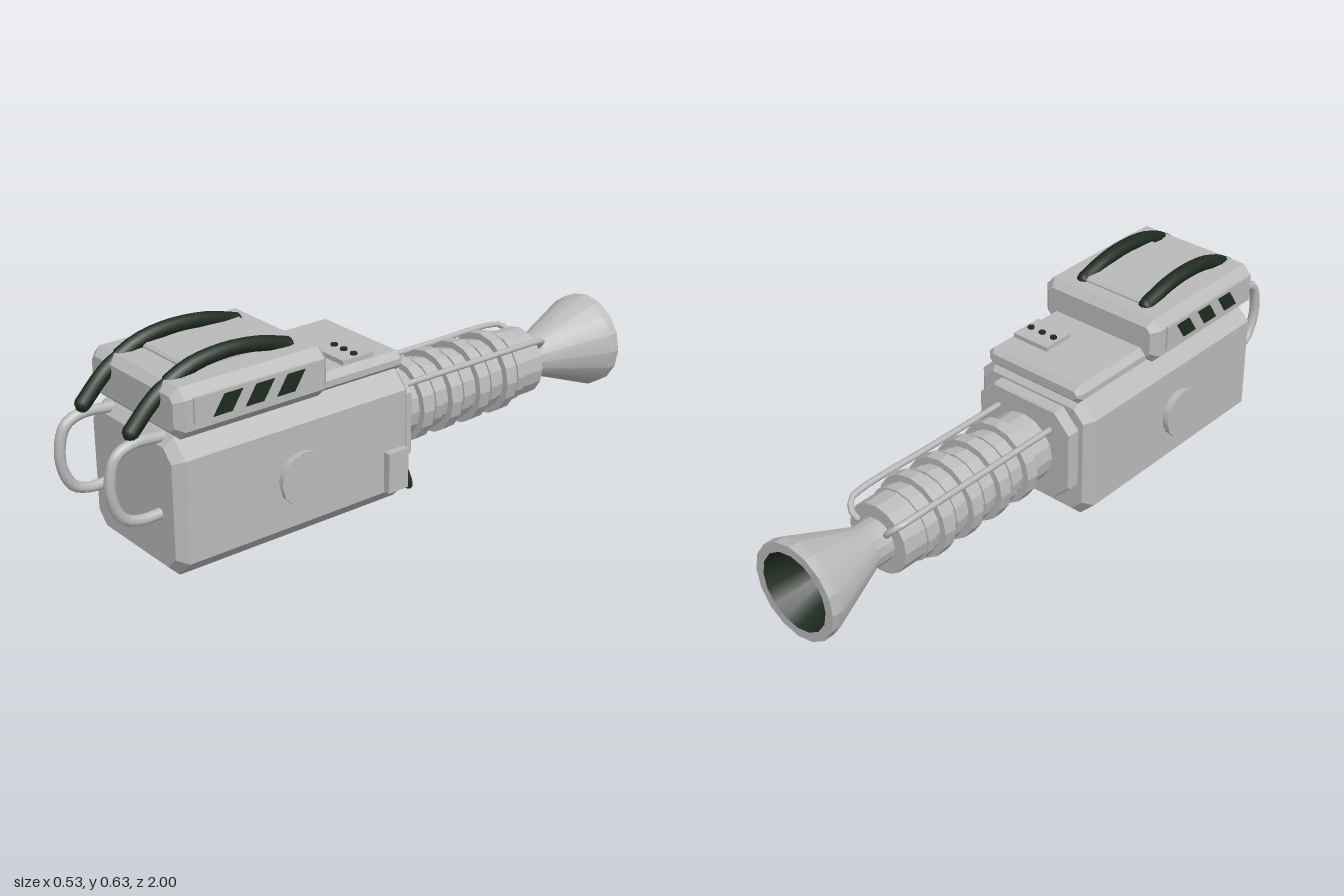
import * as THREE from 'three';
import { toCreasedNormals } from 'three/addons/utils/BufferGeometryUtils.js';

export function createModel() {
  const root = new THREE.Group();
  root.name = 'launcher';
  const grey = new THREE.MeshStandardMaterial({ color: 0xbababa });
  grey.name = 'metal grey';
  const dark = new THREE.MeshStandardMaterial({ color: 0x1e2b20 });
  dark.name = 'dark green rubber';

  const AXIS_Y = 0.215; // height of the barrel axis

  function add(name, geo, mat, x = 0, y = 0, z = 0) {
    const m = new THREE.Mesh(geo, mat);
    m.name = name;
    m.position.set(x, y, z);
    root.add(m);
    return m;
  }

  // Box with cut long edges (c) and bevelled ends (b), running along z
  function block(halfW, y0, y1, z0, z1, c, b) {
    const s = new THREE.Shape([
      [-halfW + c, y0], [halfW - c, y0], [halfW, y0 + c], [halfW, y1 - c],
      [halfW - c, y1], [-halfW + c, y1], [-halfW, y1 - c], [-halfW, y0 + c],
    ].map(([x, y]) => new THREE.Vector2(x, y)));
    const geo = new THREE.ExtrudeGeometry(s, {
      depth: z1 - z0 - 2 * b, bevelEnabled: true, bevelSegments: 1,
      bevelSize: b, bevelThickness: b, bevelOffset: -b,
    });
    return geo.translate(0, 0, z0 + b);
  }

  function tube(points, radius, segments, sides = 8) {
    const curve = new THREE.CatmullRomCurve3(points.map((p) => new THREE.Vector3(...p)));
    return new THREE.TubeGeometry(curve, segments, radius, sides);
  }

  // Tube ends are closed with small domes
  function cappedTube(name, points, radius, segments, mat) {
    add(name, tube(points, radius, segments), mat);
    for (const p of [points[0], points[points.length - 1]]) {
      add(name + 'End', new THREE.SphereGeometry(radius, 8, 6), mat, ...p);
    }
  }

  // Profile of [radius, distance toward the back], turned around the barrel axis
  function turned(name, profile, mat) {
    const geo = new THREE.LatheGeometry(profile.map(([r, d]) => new THREE.Vector2(r, d)), 16);
    geo.rotateX(-Math.PI / 2);
    return add(name, toCreasedNormals(geo, 0.39), mat, 0, AXIS_Y, 0);
  }

  // Housing
  add('body', block(0.23, 0, 0.425, -0.01, 0.83, 0.055, 0.028), grey);
  add('topCover', block(0.23, 0.425, 0.577, 0.3, 0.82, 0.03, 0.024), grey);
  add('topPanel', block(0.12, 0.56, 0.59, 0.37, 0.71, 0.008, 0.008), grey);
  add('rearDeck', block(0.19, 0.415, 0.475, -0.01, 0.34, 0.02, 0.015), grey);
  add('collar', block(0.185, 0.07, 0.39, -0.05, 0.0, 0.06, 0.006), grey);

  // Button box on the rear deck
  add('buttonBox', new THREE.BoxGeometry(0.135, 0.02, 0.115), grey, 0.098, 0.48, 0.147);
  for (const x of [0.052, 0.098, 0.144]) {
    add('button', new THREE.CylinderGeometry(0.011, 0.011, 0.008, 8), dark, x, 0.493, 0.147);
  }

  // Barrel, horn and dark bore
  turned('barrel', [[0.115, 0.03], [0.115, 0.68], [0.07, 0.68]], grey);
  turned('horn', [[0.07, 0.68], [0.07, 0.74], [0.157, 0.965], [0.157, 1], [0.127, 1]], grey);
  turned('bore', [[0.127, 1], [0.05, 0.78], [0, 0.78]], dark);
  for (let i = 0; i < 4; i++) {
    const d = 0.142 + i * 0.119;
    turned('barrelRing', [[0.11, d], [0.137, d], [0.137, d + 0.042], [0.11, d + 0.042]], grey);
    turned('thinRing', [[0.11, d + 0.065], [0.121, d + 0.065], [0.121, d + 0.095], [0.11, d + 0.095]], grey);
  }

  const stripe = new THREE.Shape([
    [-0.05, -0.029], [0.012, -0.029], [0.05, 0.029], [-0.012, 0.029],
  ].map(([x, y]) => new THREE.Vector2(x, y)));
  const stripeGeo = new THREE.ExtrudeGeometry(stripe, { depth: 0.003, bevelEnabled: false });

  for (const s of [1, -1]) {
    // Side discs
    const disc = (r, t, x) => add('sideDisc',
      new THREE.CylinderGeometry(r, r, t, 12).rotateZ(Math.PI / 2), grey, s * x, AXIS_Y, 0.42);
    disc(0.05, 0.04, 0.235);
    disc(0.075, 0.013, 0.242);
    disc(0.084, 0.014, 0.257);

    // Striped side vent
    add('ventPlate', new THREE.BoxGeometry(0.016, 0.08, 0.42), grey, s * 0.228, 0.51, 0.56);
    for (const z of [0.66, 0.553, 0.446]) {
      const m = add('ventStripe', stripeGeo, dark, s * 0.235, 0.51, z);
      m.rotation.y = s * Math.PI / 2;
      // On the mirrored side the slant is turned over so it leans the same way
      if (s < 0) m.rotation.z = Math.PI, m.rotation.y = Math.PI / 2, m.scale.y = 1;
      if (s < 0) {
        m.geometry = stripeGeo.clone().rotateX(Math.PI);
        m.rotation.set(0, Math.PI / 2, 0);
        mirrorSlant(m.geometry);
      }
    }

    // Front grip and the hose running over the cover
    cappedTube('frontHandle', [
      [s * 0.13, 0.415, 0.81], [s * 0.133, 0.42, 0.91], [s * 0.133, 0.395, 0.962],
      [s * 0.133, 0.295, 0.983], [s * 0.133, 0.21, 0.95], [s * 0.133, 0.187, 0.9],
      [s * 0.133, 0.187, 0.81],
    ], 0.017, 24, grey);
    cappedTube('topHose', [
      [s * 0.125, 0.45, 0.905], [s * 0.125, 0.53, 0.825], [s * 0.125, 0.59, 0.72],
      [s * 0.125, 0.61, 0.6], [s * 0.125, 0.602, 0.48], [s * 0.125, 0.575, 0.38],
    ], 0.024, 16, dark);

    // Rod along the top of the barrel, bent in at the back
    cappedTube('barrelRod', [
      [s * 0.105, 0.317, -0.03], [s * 0.105, 0.317, -0.35], [s * 0.105, 0.317, -0.64],
      [s * 0.098, 0.31, -0.685], [s * 0.075, 0.288, -0.705], [s * 0.06, 0.27, -0.7],
    ], 0.01, 30, grey);
  }

  // Terminal box and cable on the left side
  add('terminalBox', new THREE.BoxGeometry(0.035, 0.13, 0.075), grey, 0.237, 0.125, 0.063);
  cappedTube('cable', [
    [0.235, 0.068, 0.03], [0.222, 0.04, -0.005], [0.195, 0.03, -0.035],
    [0.15, 0.05, -0.058], [0.1, 0.1, -0.06],
  ], 0.008, 16, dark);

  return root;
}

// Reverses the slant of a flat stripe and keeps its faces outward
function mirrorSlant(geo) {
  const p = geo.attributes.position;
  for (let i = 0; i < p.count; i++) p.setX(i, -p.getX(i));
  for (let i = 0; i < p.count; i += 3) {
    const [x, y, z] = [p.getX(i), p.getY(i), p.getZ(i)];
    p.setXYZ(i, p.getX(i + 1), p.getY(i + 1), p.getZ(i + 1));
    p.setXYZ(i + 1, x, y, z);
  }
  geo.computeVertexNormals();
}
